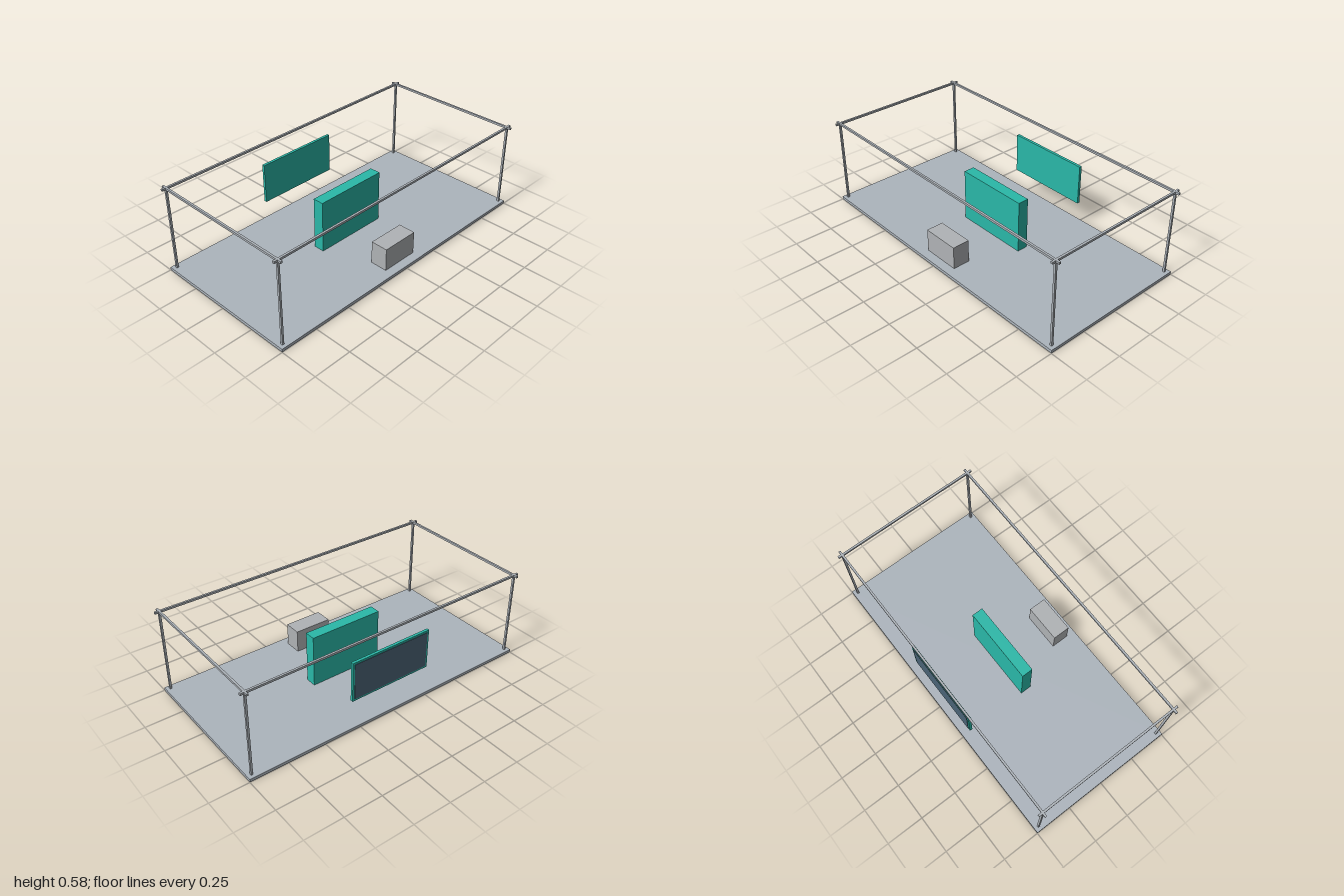
import * as THREE from 'three';

const paint = (name, color) => {
  const m = new THREE.MeshStandardMaterial({ color });
  m.name = name;
  return m;
};

export function createModel() {
  const model = new THREE.Group();
  model.name = 'exhibitionStand';

  const floorGrey = paint('floorGrey', 0xadb5bd);
  const steelGrey = paint('steelGrey', 0xadb3b9);
  const counterGrey = paint('counterGrey', 0xb0b3b6);
  const teal = paint('teal', 0x2ab8a8);
  const darkScreen = paint('darkScreen', 0x4a6375);

  // Box given by its min and max corners
  const box = (name, material, [x0, y0, z0], [x1, y1, z1], parent = model) => {
    const mesh = new THREE.Mesh(new THREE.BoxGeometry(x1 - x0, y1 - y0, z1 - z0), material);
    mesh.position.set((x0 + x1) / 2, (y0 + y1) / 2, (z0 + z1) / 2);
    mesh.name = name;
    parent.add(mesh);
    return mesh;
  };

  // Floor, with the central wall reaching through to its underside
  box('floor', floorGrey, [-1, 0.001, -0.5], [1, 0.021, 0.5]);
  box('centralWall', teal, [-0.25, 0, -0.0365], [0.25, 0.369, 0.0365]);

  // Counter at the front
  box('counter', counterGrey, [-0.125, 0.02, 0.325], [0.125, 0.172, 0.44]);

  // Open frame: four posts, with rails overshooting the corners
  const frame = new THREE.Group();
  frame.name = 'frame';
  model.add(frame);
  const h = 0.0067, px = 0.971, pz = 0.471, top = 0.583, low = top - 2 * h;
  for (const s of [-1, 1]) {
    for (const t of [-1, 1]) {
      box('post', steelGrey, [s * px - h, 0.02, t * pz - h], [s * px + h, low, t * pz + h], frame);
    }
    box('longRail', steelGrey, [-1, low, s * pz - h], [1, top, s * pz + h], frame);
    box('sideRail', steelGrey, [s * px - h, low, -0.5], [s * px + h, top, 0.5], frame);
  }

  // Hanging display facing the back
  const display = new THREE.Group();
  display.name = 'display';
  model.add(display);
  box('displayCase', teal, [-0.282, 0.177, -0.463], [0.282, 0.443, -0.445], display);
  box('displayScreen', darkScreen, [-0.268, 0.19, -0.466], [0.268, 0.43, -0.46], display);

  return model;
}
